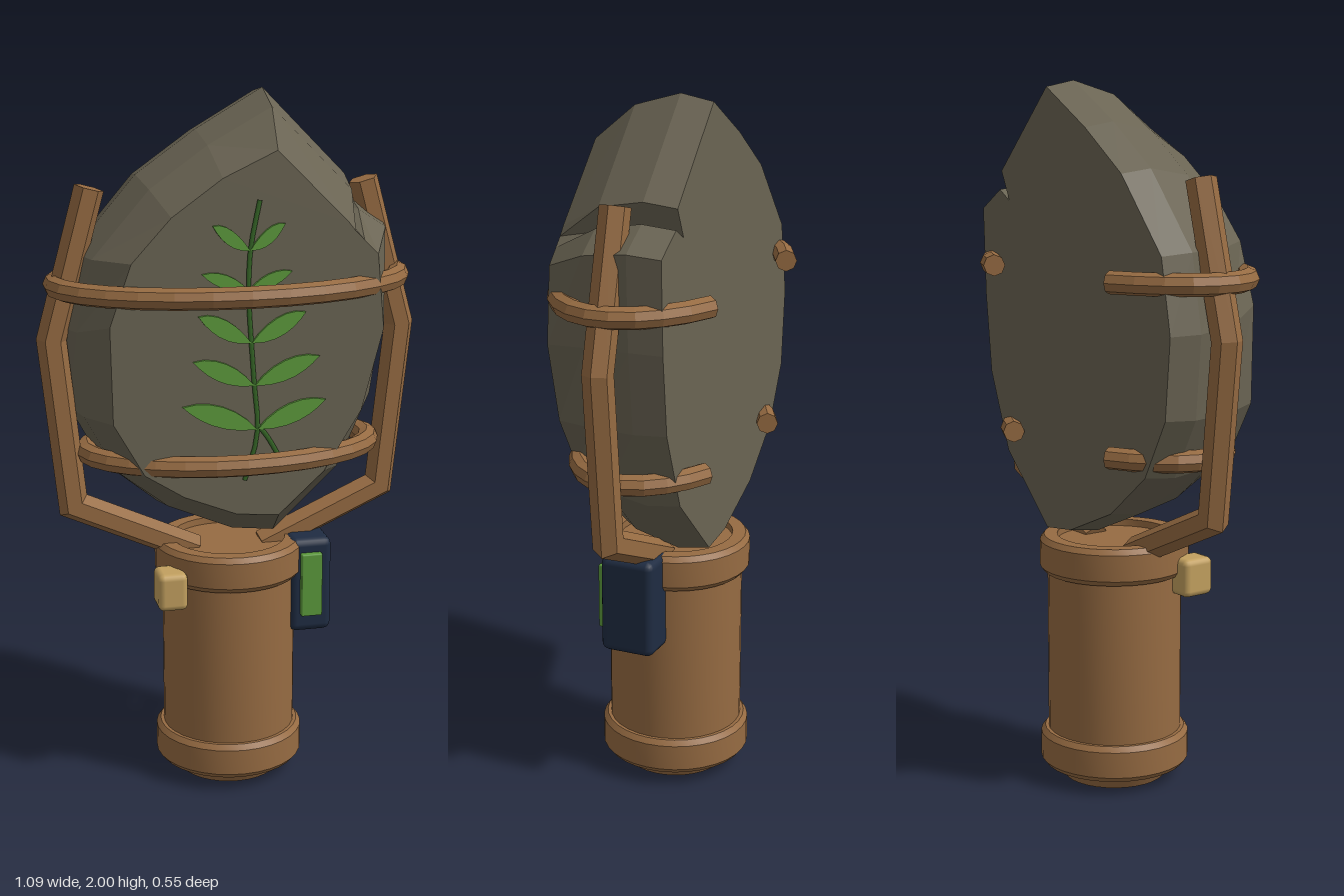
import * as THREE from 'three';
import { toCreasedNormals } from 'three/addons/utils/BufferGeometryUtils.js';
import { RoundedBoxGeometry } from 'three/addons/geometries/RoundedBoxGeometry.js';

const V = (x, y, z) => new THREE.Vector3(x, y, z);
const AXIS_Z = -0.025; // depth of the handle axis

function material(name, color) {
  const m = new THREE.MeshStandardMaterial({ color });
  m.name = name;
  return m;
}

// Faceted geometry from corner points, three per face
function faceted(corners) {
  const g = new THREE.BufferGeometry().setFromPoints(corners);
  g.computeVertexNormals();
  return g;
}

// Capped bar with mitred joints along a path lying in a plane of the given normal
function bar(path, normal, radius, sides) {
  const n = path.length;
  const rings = path.map((p, i) => {
    const t0 = path[Math.max(i, 1)].clone().sub(path[Math.max(i, 1) - 1]).normalize();
    const t1 = path[Math.min(i + 1, n - 1)].clone().sub(path[Math.min(i, n - 2)]).normalize();
    const t = t0.clone().add(t1).normalize();
    const side = normal.clone().cross(t).divideScalar(t.dot(t0));
    return Array.from({ length: sides }, (_, k) => {
      const a = (k / sides) * Math.PI * 2;
      return p.clone().addScaledVector(side, Math.cos(a) * radius).addScaledVector(normal, Math.sin(a) * radius);
    });
  });
  const out = [];
  for (let k = 0; k < sides; k++) {
    const j = (k + 1) % sides;
    for (let i = 0; i < n - 1; i++) {
      const a = rings[i], b = rings[i + 1];
      out.push(a[k], a[j], b[k], a[j], b[j], b[k]);
    }
    out.push(path[0], rings[0][j], rings[0][k], path[n - 1], rings[n - 1][k], rings[n - 1][j]);
  }
  return faceted(out);
}

// Chipped stone slab: outline at full width, with a smaller front face
function stoneGeometry() {
  const outline = [ // full x, y, then front face x, y
    [0.11, 2.0, 0.09, 1.86], [0.35, 1.755, 0.29, 1.66], [0.31, 1.67, 0.31, 1.635],
    [0.36, 1.70, 0.335, 1.61], [0.455, 1.64, 0.375, 1.57], [0.445, 1.38, 0.395, 1.36],
    [0.42, 1.15, 0.335, 1.13], [0.33, 0.92, 0.23, 0.96], [0.12, 0.72, 0.10, 0.84],
    [0, 0.735, -0.02, 0.85], [-0.2, 0.82, -0.17, 0.91], [-0.36, 0.95, -0.28, 0.98],
    [-0.45, 1.12, -0.365, 1.13], [-0.47, 1.35, -0.37, 1.4], [-0.43, 1.56, -0.31, 1.57],
    [-0.25, 1.77, -0.2, 1.69], [-0.08, 1.89, -0.06, 1.79],
  ].reverse();
  const layers = [[0.175, 0, 1], [0.05, 0.72, 1], [-0.085, 1, 1], [-0.178, 1, 0.975]].map(([z, f, s]) =>
    outline.map(([x, y, fx, fy]) =>
      V((fx + (x - fx) * f) * s, 1.3 + (fy + (y - fy) * f - 1.3) * s, z)));
  const out = [], n = outline.length;
  for (let l = 0; l < 3; l++) {
    const front = layers[l], back = layers[l + 1];
    for (let i = 0; i < n; i++) {
      const j = (i + 1) % n;
      out.push(back[i], back[j], front[i], back[j], front[j], front[i]);
    }
  }
  const cap = (layer) => THREE.ShapeUtils.triangulateShape(layer.map((p) => new THREE.Vector2(p.x, p.y)), []);
  for (const [a, b, c] of cap(layers[0])) out.push(layers[0][a], layers[0][b], layers[0][c]);
  for (const [a, b, c] of cap(layers[3])) out.push(layers[3][a], layers[3][c], layers[3][b]);
  return faceted(out);
}

// Thin curved leaf from the stem to its tip
function leafGeometry(x0, y0, x1, y1) {
  const dx = x1 - x0, dy = y1 - y0, w = Math.abs(dx) * 0.2;
  const s = new THREE.Shape();
  s.moveTo(x0, y0);
  s.bezierCurveTo(x0 + dx * 0.25, y0 + dy * 0.3 + w, x0 + dx * 0.65, y1 + w * 0.5, x1, y1);
  s.bezierCurveTo(x0 + dx * 0.8, y0 + dy * 0.45, x0 + dx * 0.5, y0 - w * 0.15, x0, y0);
  return new THREE.ExtrudeGeometry(s, { depth: 0.009, bevelEnabled: false, curveSegments: 6 });
}

export function createModel() {
  const model = new THREE.Group();
  const wood = material('wood', 0x966b42);
  const stone = material('stone', 0x6a6453);
  const leafGreen = material('leaf green', 0x5c9a3c);
  const stemGreen = material('stem green', 0x356526);
  const navy = material('navy', 0x1f2c42);
  const sand = material('sand', 0xc2a05f);
  const add = (name, geometry, mat, x = 0, y = 0, z = 0) => {
    const mesh = new THREE.Mesh(geometry, mat);
    mesh.name = name;
    mesh.position.set(x, y, z);
    model.add(mesh);
    return mesh;
  };

  // Handle with foot, two collars and a recessed top
  const profile = [[0, 0], [0.148, 0], [0.17, 0.04], [0.203, 0.04], [0.215, 0.055], [0.215, 0.13],
    [0.203, 0.145], [0.193, 0.145], [0.193, 0.615], [0.203, 0.615], [0.215, 0.63], [0.215, 0.705],
    [0.203, 0.72], [0.165, 0.72], [0.165, 0.7], [0, 0.7]].map(([x, y]) => new THREE.Vector2(x, y));
  add('handle', toCreasedNormals(new THREE.LatheGeometry(profile, 32), 0.4), wood, 0, 0, AXIS_Z);

  add('stoneSlab', stoneGeometry(), stone);

  // Bent struts on both sides
  for (const [side, name] of [[1, 'leftStrut'], [-1, 'rightStrut']]) {
    const path = [[0.1, 0.685], [0.452, 0.845], [0.502, 1.33], [0.388, 1.747]]
      .map(([x, y]) => V(side * x, y, AXIS_Z));
    add(name, bar(path, V(0, 0, 1), 0.042, 6), wood);
  }

  // Open oval hoops around the slab
  for (const [name, y, a, b] of [['upperHoop', 1.48, 0.49, 0.268], ['lowerHoop', 1.0, 0.41, 0.23]]) {
    const reach = Math.PI * 0.5 + 0.96;
    const path = Array.from({ length: 25 }, (_, i) => {
      const t = -reach + (i / 24) * reach * 2;
      return V(Math.sin(t) * a, y, AXIS_Z + Math.cos(t) * b);
    });
    add(name, bar(path, V(0, 1, 0), 0.031, 8), wood);
  }

  // Sprout on the front face
  const stems = [
    [[0, 0.95], [0.035, 1.08], [0.025, 1.24], [0.01, 1.48], [0.015, 1.6], [0.04, 1.73]],
    [[0.035, 1.11], [0.065, 1.07], [0.11, 0.99]],
  ];
  stems.forEach((points, i) => {
    const curve = new THREE.CatmullRomCurve3(points.map(([x, y]) => V(x, y, 0.177)));
    add(i ? 'sideStem' : 'mainStem', new THREE.TubeGeometry(curve, 16, 0.007, 5), stemGreen);
  });
  const leaves = [ // stem x, y, then the two tip offsets and their height
    [0.035, 1.095, -0.175, 0.23, 1.17], [0.027, 1.22, -0.145, 0.21, 1.295],
    [0.018, 1.34, -0.13, 0.17, 1.42], [0.01, 1.485, -0.12, 0.13, 1.535], [0.013, 1.595, -0.09, 0.11, 1.665],
  ];
  for (const [x, y, right, left, tipY] of leaves) {
    add('rightLeaf', leafGeometry(x, y, right, tipY), leafGreen, 0, 0, 0.176);
    add('leftLeaf', leafGeometry(x, y, left, tipY), leafGreen, 0, 0, 0.176);
  }

  // Side box with a lit panel, and a small block opposite
  add('sideBox', new RoundedBoxGeometry(0.125, 0.285, 0.16, 2, 0.022), navy, 0.222, 0.582, 0.005);
  add('panel', new RoundedBoxGeometry(0.062, 0.19, 0.03, 1, 0.004), leafGreen, 0.22, 0.59, 0.09);
  add('smallBlock', new RoundedBoxGeometry(0.085, 0.11, 0.1, 2, 0.018), sand, -0.197, 0.617, 0.1);

  return model;
}
